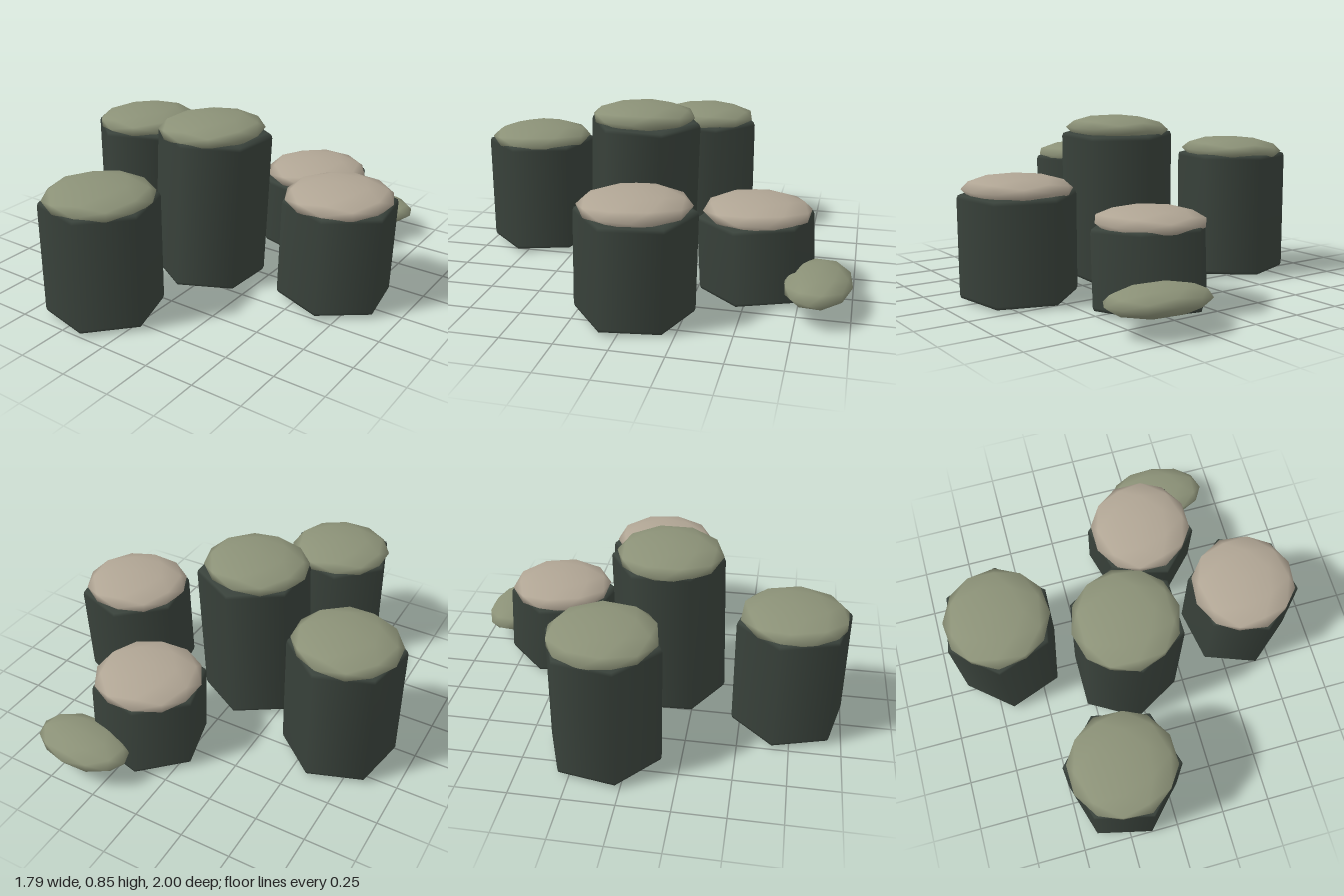
import * as THREE from 'three';

const mat = (name, color) => {
  const m = new THREE.MeshStandardMaterial({ color });
  m.name = name;
  return m;
};
const deg = THREE.MathUtils.degToRad;

export function createModel() {
  const group = new THREE.Group();
  const rock = mat('dark basalt', 0x39423b);
  const moss = mat('moss green', 0x8b9177);
  const lichen = mat('lichen beige', 0xb0a594);

  const add = (name, geometry, material, parent = group) => {
    const mesh = new THREE.Mesh(geometry, material);
    mesh.name = name;
    parent.add(mesh);
    return mesh;
  };

  // Six-sided column with softened rims
  const columnGeometry = (h) => new THREE.LatheGeometry([
    [0, 0], [0.255, 0], [0.278, 0.006], [0.284, 0.022],
    [0.284, h - 0.022], [0.278, h - 0.006], [0.255, h], [0, h],
  ].map(([x, y]) => new THREE.Vector2(x, y)), 6);

  // Low, smooth blob shared by the caps and the loose clump
  const blob = new THREE.IcosahedronGeometry(1, 1);

  // x, z, turn, column top, cap centre, lean x, lean z, cap tilt, cap material
  const columns = [
    [-0.632, -0.118, -10, 0.648, 0.66, 0, 0, 2, moss],
    [-0.035, 0.102, 0, 0.772, 0.785, -2, -1.7, 2, moss],
    [-0.222, 0.73, 17, 0.592, 0.597, 0, 0, 0, moss],
    [0.623, -0.022, 10, 0.522, 0.535, -1.2, -1.2, 1, lichen],
    [0.217, -0.527, 16, 0.398, 0.412, 3, 0, 1, lichen],
  ];
  columns.forEach(([x, z, turn, top, capY, leanX, leanZ, tilt, material], i) => {
    const base = 0.016;
    const unit = new THREE.Group();
    unit.name = `columnUnit${i + 1}`;
    unit.position.set(x, 0, z);
    group.add(unit);

    // Column leans about its middle
    const h = top - base;
    const geometry = columnGeometry(h).translate(0, -h / 2, 0);
    const column = add('column', geometry, rock, unit);
    column.position.y = base + h / 2;
    column.rotation.set(deg(leanX), deg(turn), deg(leanZ));

    // Domed cap
    const cap = add('cap', blob, material, unit);
    cap.position.y = capY;
    cap.scale.set(0.266, 0.071, 0.266);
    cap.rotation.set(0, deg(turn), deg(tilt));
  });

  // Loose clump resting against the rear column
  const clump = add('looseClump', blob, moss);
  clump.position.set(0.405, 0.142, -0.84);
  clump.scale.set(0.26, 0.068, 0.16);
  clump.rotation.y = deg(-6);

  return group;
}
